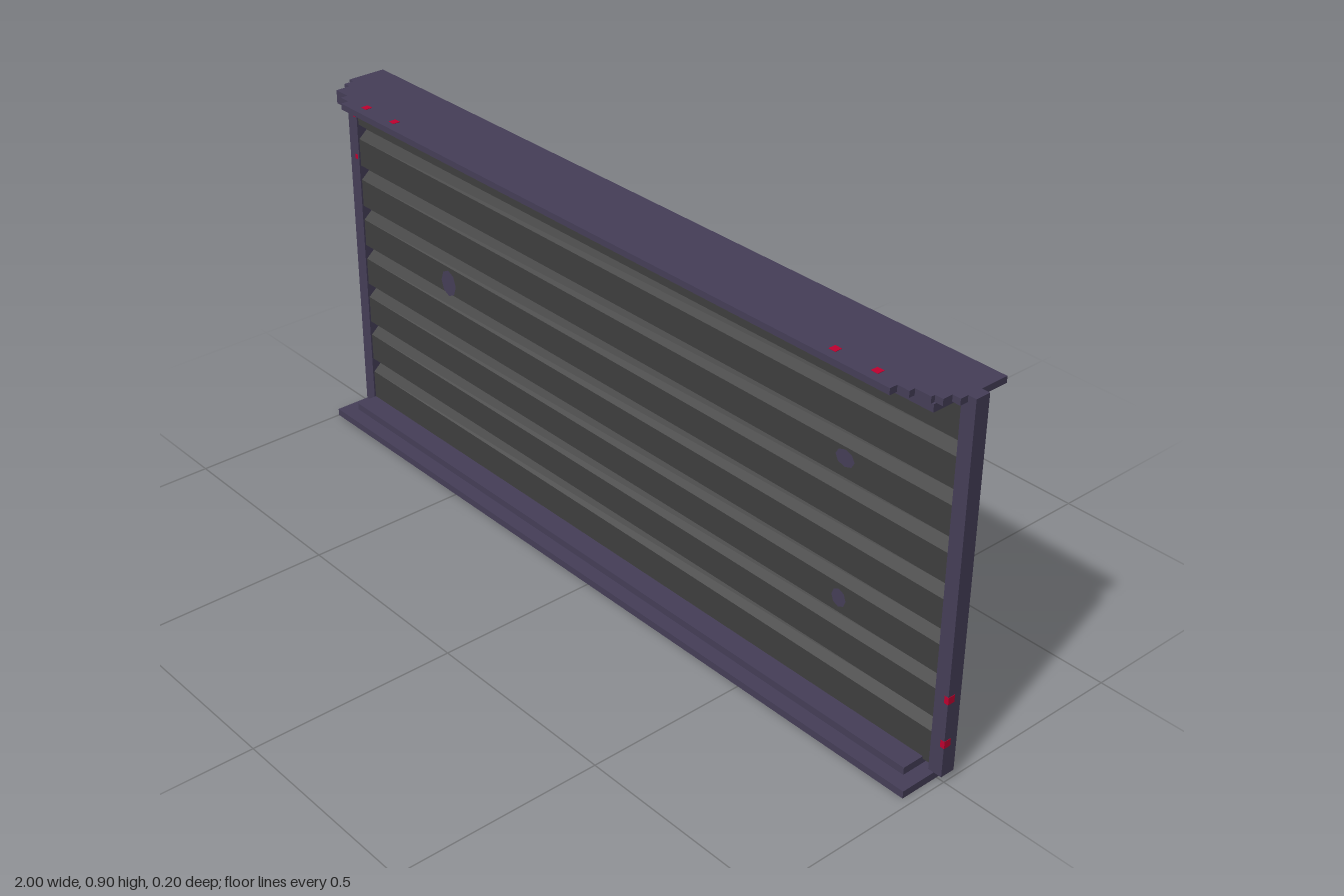
import * as THREE from 'three';

export function createModel() {
  const group = new THREE.Group();
  const mat = (name, color, side = THREE.FrontSide) => {
    const m = new THREE.MeshStandardMaterial({ color, side });
    m.name = name;
    return m;
  };
  const frame = mat('frame purple', 0x453e58);
  const panelGrey = mat('panel grey', 0x3f3f3f);
  const red = mat('marker red', 0xc00030);

  const add = (name, geometry, material) => {
    const mesh = new THREE.Mesh(geometry, material);
    mesh.name = name;
    group.add(mesh);
    return mesh;
  };
  const box = (name, x0, x1, y0, y1, z0, z1, material) =>
    add(name, new THREE.BoxGeometry(x1 - x0, y1 - y0, z1 - z0), material)
      .position.set((x0 + x1) / 2, (y0 + y1) / 2, (z0 + z1) / 2);
  // Horizontal plate from an outline of [x, z] corners
  const plate = (name, outline, y0, y1) => {
    const shape = new THREE.Shape(outline.map(([x, z]) => new THREE.Vector2(x, -z)));
    const geometry = new THREE.ExtrudeGeometry(shape, { depth: y1 - y0, bevelEnabled: false });
    geometry.rotateX(-Math.PI / 2);
    add(name, geometry, frame).position.y = y0;
  };

  // Top rail with stepped front corners
  plate('topRail', [
    [-1, -0.098], [0.98, -0.098], [0.98, 0.03], [0.96, 0.03], [0.96, 0.055],
    [0.94, 0.055], [0.94, 0.065], [0.9, 0.065], [0.9, 0.08], [0.87, 0.08], [0.87, 0.1],
    [-0.89, 0.1], [-0.89, 0.08], [-0.92, 0.08], [-0.92, 0.062],
    [-0.965, 0.062], [-0.965, 0.025], [-0.985, 0.025], [-0.985, 0], [-1, 0],
  ], 0.885, 0.9);
  box('topInnerRail', -0.965, 0.945, 0.867, 0.885, -0.062, 0.062, frame);

  // Bottom rail with a stepped back corner
  plate('bottomRail', [
    [-1, 0.1], [0.98, 0.1], [0.98, -0.008], [0.96, -0.008], [0.96, -0.03],
    [0.945, -0.03], [0.945, -0.062], [-0.98, -0.062], [-0.98, -0.03], [-1, -0.03],
  ], 0, 0.018);
  box('bottomInnerRail', -0.965, 0.945, 0.018, 0.036, -0.062, 0.062, frame);

  // Side posts
  box('rightPost', -1, -0.965, 0.018, 0.885, -0.027, 0.01, frame);
  box('leftPost', 0.965, 1, 0.018, 0.9, -0.027, 0.01, frame);

  // Panel: one cross-section with seven bevelled grooves, run along x
  const front = 0.006, floor = -0.016, back = -0.045;
  const section = [[back, 0.03], [front, 0.03]];
  for (let i = 0; i < 7; i++) {
    const y = 0.129 + i * 0.108;
    section.push([front, y - 0.019], [floor, y], [floor, y + 0.019], [front, y + 0.019]);
  }
  section.push([front, 0.87], [back, 0.87]);
  const panelShape = new THREE.Shape(section.map(([z, y]) => new THREE.Vector2(-z, y)));
  const panelGeometry = new THREE.ExtrudeGeometry(panelShape, { depth: 1.93, bevelEnabled: false });
  panelGeometry.rotateY(Math.PI / 2);
  add('groovedPanel', panelGeometry, panelGrey).position.x = -0.965;

  // Purple spots on the panel
  for (const [x, y, rx, ry] of [[-0.62, 0.5, 0.028, 0.034], [0.685, 0.625, 0.026, 0.02], [0.69, 0.292, 0.02, 0.022]]) {
    const spot = add('panelSpot', new THREE.CircleGeometry(1, 8), frame);
    spot.scale.set(rx, ry, 1);
    spot.position.set(x, y, front + 0.0015);
  }

  // Red markers on the top rail and the posts
  for (const x of [-0.83, -0.72, 0.7, 0.81])
    box('topMarker', x - 0.009, x + 0.009, 0.895, 0.901, 0.06, 0.078, red);
  for (const y of [0.1, 0.21])
    box('leftPostMarker', 0.99, 1.001, y - 0.009, y + 0.009, -0.008, 0.0105, red);
  for (const y of [0.71, 0.82])
    box('rightPostMarker', -0.98, -0.97, y - 0.006, y + 0.006, 0.005, 0.0105, red);

  return group;
}
